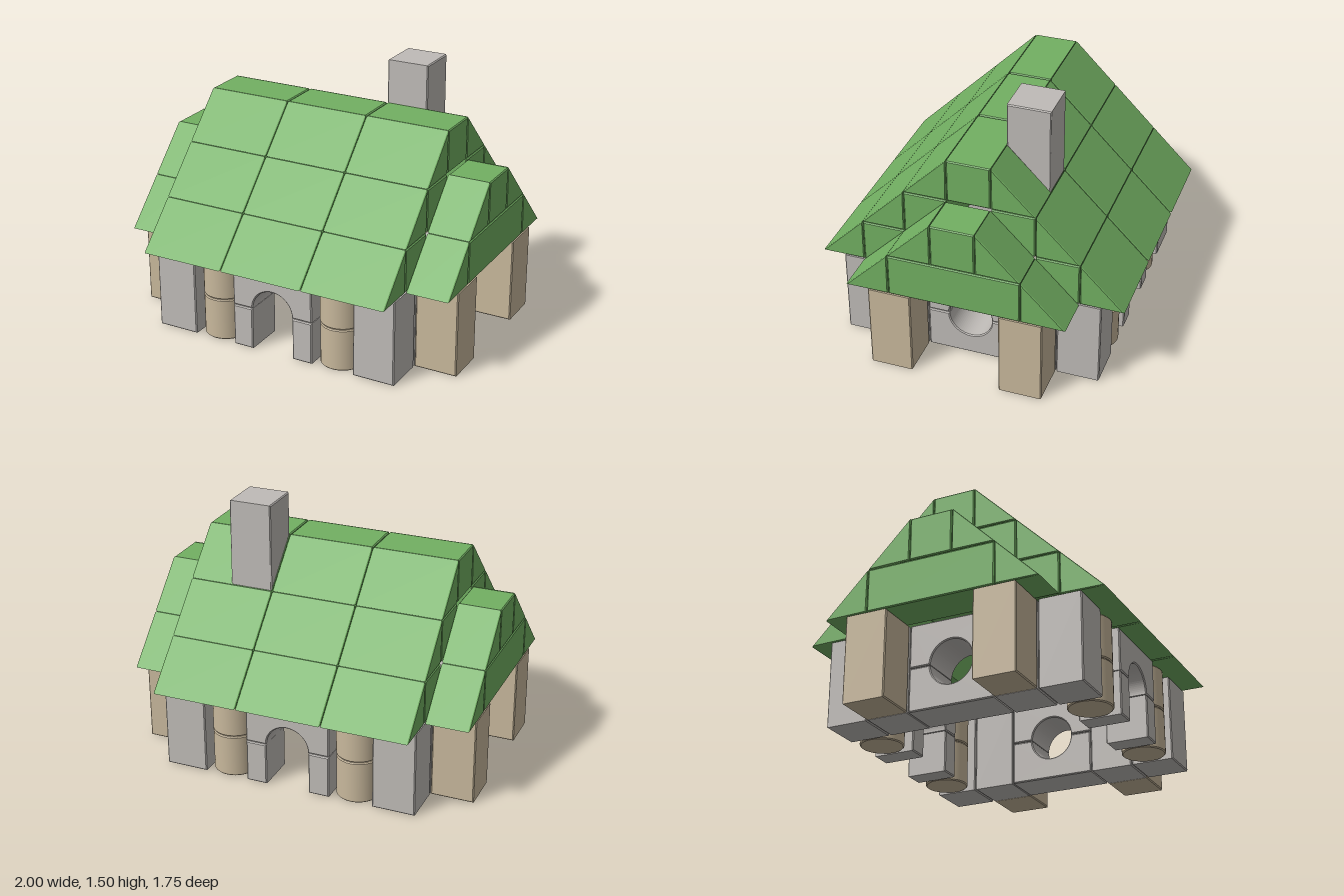
import * as THREE from 'three';

const U = 0.25;      // block unit
const BEVEL = 0.006; // small chamfer on every block
const GAP = 0.004;   // seam between neighbouring blocks

export function createModel() {
  const model = new THREE.Group();
  const paint = (color) => new THREE.MeshStandardMaterial({ color, flatShading: true });
  const stone = paint(0xbfbbb7), sand = paint(0xc8b89c), green = paint(0x72b062);
  const sandSmooth = new THREE.MeshStandardMaterial({ color: 0xc8b89c });

  const add = (name, geometry, material, x = 0, y = 0, z = 0) => {
    const mesh = new THREE.Mesh(geometry, material);
    mesh.name = name;
    mesh.position.set(x, y, z);
    model.add(mesh);
    return mesh;
  };

  // Chamfered prism: outline in x/y, centred along z
  const prism = (shape, depth) => {
    const d = depth - GAP;
    return new THREE.ExtrudeGeometry(shape, {
      depth: d - 2 * BEVEL, bevelThickness: BEVEL, bevelSize: BEVEL,
      bevelOffset: -BEVEL, bevelSegments: 1, curveSegments: 20,
    }).translate(0, 0, -d / 2 + BEVEL);
  };
  const polygon = (points) => new THREE.Shape(points.map(([a, b]) => new THREE.Vector2(a, b)));
  const rectangle = (a0, b0, a1, b1) => {
    const g = GAP / 2;
    return polygon([[a0 + g, b0], [a1 - g, b0], [a1 - g, b1 - GAP], [a0 + g, b1 - GAP]]);
  };
  // Prism with its outline in z/y, running along x
  const acrossX = (shape, depth) => prism(shape, depth).rotateY(-Math.PI / 2);
  const block = (name, material, w, h, d, x, y, z) =>
    add(name, prism(rectangle(-w / 2, 0, w / 2, h), d), material, x, y, z);

  // Bridge block with a half-round cutout in its underside
  const archShape = () => {
    const s = new THREE.Shape();
    s.moveTo(-U + GAP / 2, 0);
    s.lineTo(-U / 2, 0);
    s.absarc(0, 0, U / 2, Math.PI, 0, true);
    s.lineTo(U - GAP / 2, 0);
    s.lineTo(U - GAP / 2, U - GAP);
    s.lineTo(-U + GAP / 2, U - GAP);
    s.closePath();
    return s;
  };

  // Round column drum with chamfered rims
  const r = U / 2 - GAP / 2, h = U - GAP;
  const drum = new THREE.LatheGeometry([
    [0, 0], [r - BEVEL, 0], [r - BEVEL, 0], [r, BEVEL], [r, BEVEL],
    [r, h - BEVEL], [r, h - BEVEL], [r - BEVEL, h], [r - BEVEL, h], [0, h],
  ].map(([a, b]) => new THREE.Vector2(a, b)), 32);

  // Front and back walls
  for (const sz of [1, -1]) {
    const z = sz * 0.625;
    add('doorArch', prism(archShape(), U), stone, 0, U, z);
    for (const sx of [1, -1]) {
      block('doorJamb', stone, U / 2, U, U, sx * 0.1875, 0, z);
      for (const y of [0, U]) add('columnDrum', drum, sandSmooth, sx * 0.375, y, z);
      block('cornerPillar', stone, U, 2 * U, U, sx * 0.625, 0, z);
    }
  }

  // Side walls with a round window between buttresses
  for (const sx of [1, -1]) {
    const x = sx * 0.625;
    add('windowArchUpper', acrossX(archShape(), U), stone, x, U, 0);
    add('windowArchLower', acrossX(archShape(), U).rotateX(Math.PI), stone, x, U - GAP, 0);
    for (const sz of [1, -1]) {
      block('wallPillar', stone, U, 2 * U, U, x, 0, sz * 0.375);
      block('sideButtress', sand, U, 2 * U, U, sx * 0.875, 0, sz * 0.375);
    }
  }

  // Roof pieces: outlines in z/y, mirrored front to back
  const wedge = (sz, outer, y) => polygon([
    [sz * (outer - U + GAP / 2), y], [sz * outer, y], [sz * (outer - U + GAP / 2), y + U - GAP / 2],
  ]);
  const roofPiece = (name, shape, width, x) => add(name, acrossX(shape, width), green, x);

  // Main roof: three bays of stepped courses, hollow inside
  for (const x of [-0.5, 0, 0.5]) {
    for (const sz of [1, -1]) {
      for (let c = 0; c < 3; c++) {
        const y = 0.5 + c * U, outer = 0.875 - c * U;
        roofPiece('roofSlope', wedge(sz, outer, y), 2 * U, x);
        if (c < 2) {
          const a = sz * (outer - U), b = sz * (outer - 2 * U);
          roofPiece('roofBacking', rectangle(Math.min(a, b), y, Math.max(a, b), y + U), 2 * U, x);
        }
      }
    }
    roofPiece('roofRidge', rectangle(-U / 2, 1, U / 2, 1.25 + GAP / 2), 2 * U, x);
  }

  // Lower gable roofs at both ends
  for (const x of [-0.875, 0.875]) {
    for (let c = 0; c < 2; c++) {
      const y = 0.5 + c * U, outer = 0.625 - c * U;
      for (const sz of [1, -1]) roofPiece('gableSlope', wedge(sz, outer, y), U, x);
      roofPiece('gableBlock', rectangle(-(outer - U), y, outer - U, y + U), U, x);
    }
  }

  // Chimney with its foot cut to the rear slope
  const chimney = polygon([[-0.373, 1.002], [-0.127, 1.248], [-0.127, 1.5], [-0.373, 1.5]]);
  add('chimney', acrossX(chimney, U), stone, 0.375);

  return model;
}
